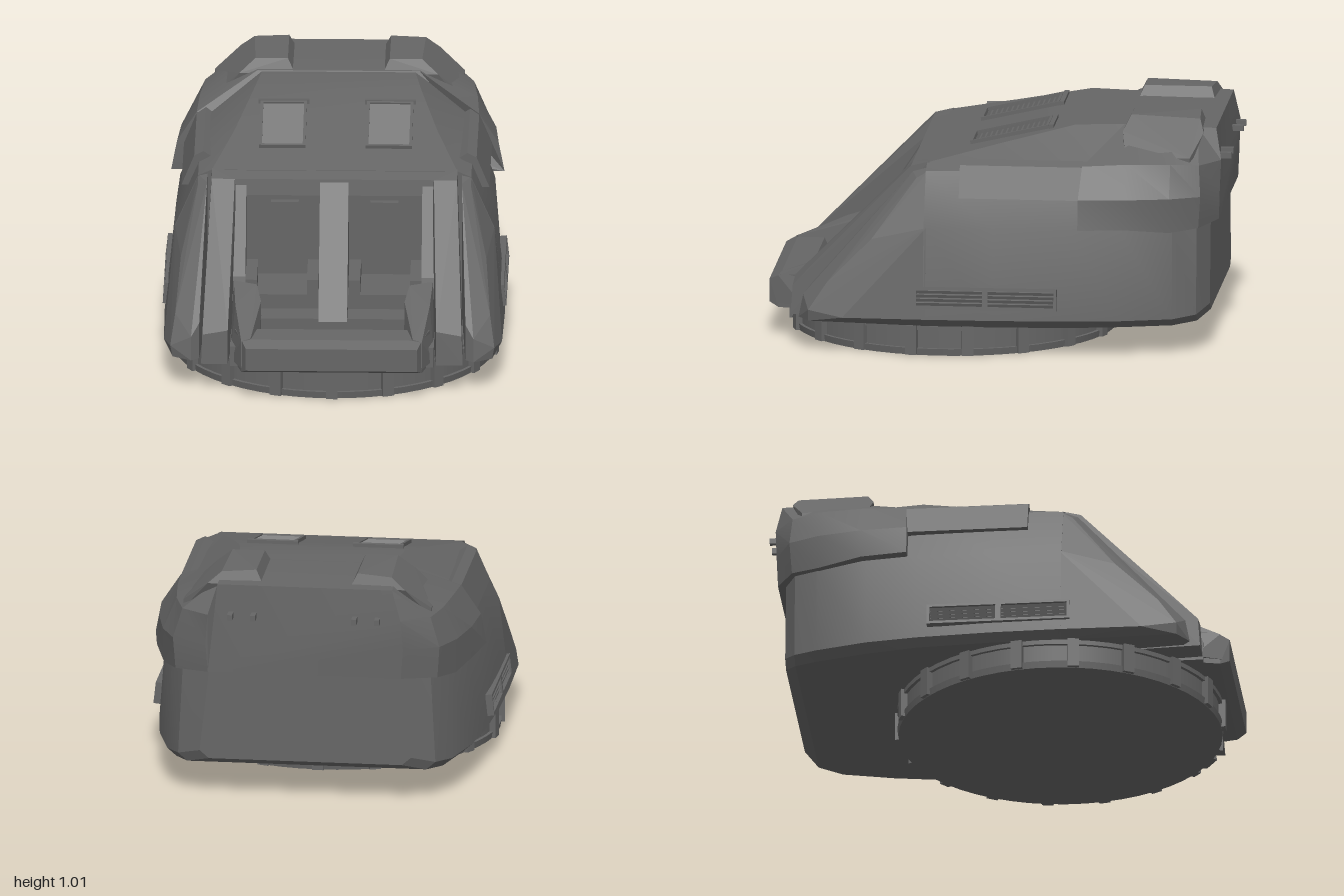
import * as THREE from 'three';
import { toCreasedNormals } from 'three/addons/utils/BufferGeometryUtils.js';
import { ConvexGeometry } from 'three/addons/geometries/ConvexGeometry.js';

const grey = new THREE.MeshStandardMaterial({ color: 0x666666 });
grey.name = 'gunmetal grey';

function add(parent, name, geometry) {
  const mesh = new THREE.Mesh(geometry, grey);
  mesh.name = name;
  parent.add(mesh);
  return mesh;
}

function box(parent, name, w, h, d, x, y, z) {
  const mesh = add(parent, name, new THREE.BoxGeometry(w, h, d));
  mesh.position.set(x, y, z);
  return mesh;
}

// convex block from its corners; side -1 mirrors it
function block(parent, name, corners, side = 1) {
  const points = corners.map(([x, y, z]) => new THREE.Vector3(x * side, y, z));
  return add(parent, name, new ConvexGeometry(points));
}

// symmetric skin through half sections (bottom to top, on +x), ordered back to front
function loft(sections, crease) {
  const loops = sections.map(s => [...s, ...s.map(([x, y, z]) => [-x, y, z]).reverse()]);
  const n = loops[0].length, pos = [];
  const tri = (a, b, c) => pos.push(...a, ...b, ...c);
  for (let k = 0; k < loops.length - 1; k++) {
    for (let j = 0; j < n; j++) {
      const i = (j + 1) % n, A = loops[k], B = loops[k + 1];
      tri(A[j], A[i], B[i]);
      tri(A[j], B[i], B[j]);
    }
  }
  const first = loops[0], last = loops[loops.length - 1];
  for (let j = 1; j < n - 1; j++) {
    tri(first[0], first[j + 1], first[j]);
    tri(last[0], last[j], last[j + 1]);
  }
  const geo = new THREE.BufferGeometry();
  geo.setAttribute('position', new THREE.Float32BufferAttribute(pos, 3));
  geo.computeVertexNormals();
  return toCreasedNormals(geo, crease);
}

// framed louvre lying in its own xy plane, facing +z, slats along x
function vent(name, w, h, slats) {
  const g = new THREE.Group();
  g.name = name;
  const t = 0.012;
  for (const s of [-1, 1]) {
    box(g, 'ventFrame', w, t, 0.03, 0, s * (h - t) / 2, 0);
    box(g, 'ventFrame', t, h, 0.03, s * (w - t) / 2, 0, 0);
  }
  for (let i = 0; i < slats; i++) {
    const y = -h / 2 + t + (i + 0.5) * (h - 2 * t) / slats;
    box(g, 'ventSlat', w - 2 * t, (h - 2 * t) / slats * 0.8, 0.005, 0, y, 0.004).rotation.x = 0.5;
  }
  return g;
}

export function createModel() {
  const model = new THREE.Group();
  model.name = 'turret';

  // main hull: z, bottom x/y, low x, mid x, shoulder x/y, roof x/y
  const hull = [
    [-0.92, 0.42, 0.17, 0.46, 0.42, 0.40, 0.80, 0.33, 0.94],
    [-0.87, 0.52, 0.14, 0.56, 0.54, 0.50, 0.80, 0.33, 0.95],
    [-0.77, 0.58, 0.13, 0.62, 0.60, 0.54, 0.80, 0.33, 0.955],
    [-0.55, 0.64, 0.13, 0.68, 0.65, 0.56, 0.80, 0.33, 0.96],
    [-0.33, 0.68, 0.13, 0.71, 0.68, 0.58, 0.81, 0.36, 0.96],
    [0.00, 0.70, 0.13, 0.73, 0.69, 0.59, 0.80, 0.44, 0.885],
    [0.30, 0.70, 0.13, 0.735, 0.69, 0.59, 0.79, 0.53, 0.816],
  ].map(([z, bx, by, lx, mx, sx, sy, rx, ry]) =>
    [[bx, by, z], [lx, by + 0.035, z], [mx, 0.56, z], [sx, sy, z], [rx, ry, z]]);
  add(model, 'hull', loft(hull, 0.35));

  // rear armour collar wrapped over the hull
  const collar = [
    [[0.42, 0.57, -0.955], [0.43, 0.70, -0.96], [0.42, 0.83, -0.965], [0.38, 0.962, -0.94]],
    [[0.57, 0.56, -0.88], [0.58, 0.70, -0.89], [0.54, 0.83, -0.88], [0.38, 0.965, -0.86]],
    [[0.635, 0.55, -0.76], [0.64, 0.70, -0.76], [0.58, 0.84, -0.76], [0.38, 0.965, -0.76]],
    [[0.69, 0.57, -0.57], [0.68, 0.70, -0.57], [0.60, 0.84, -0.57], [0.36, 0.967, -0.57]],
    [[0.72, 0.57, -0.37], [0.695, 0.70, -0.37], [0.61, 0.83, -0.38], [0.35, 0.965, -0.54]],
  ];
  add(model, 'rearArmour', loft(collar, 0.3));

  // turntable ring with ribs
  const ring = new THREE.Group();
  ring.name = 'turntable';
  ring.position.z = 0.23;
  model.add(ring);
  add(ring, 'ringDrum', new THREE.CylinderGeometry(0.69, 0.69, 0.14, 54)).position.y = 0.07;
  add(ring, 'ringLowerBand', new THREE.CylinderGeometry(0.705, 0.7, 0.03, 54)).position.y = 0.015;
  add(ring, 'ringUpperBand', new THREE.CylinderGeometry(0.705, 0.705, 0.02, 54)).position.y = 0.12;
  for (let i = 0; i < 18; i++) {
    const a = (i * Math.PI * 2) / 18;
    box(ring, 'ringRib', 0.05, 0.13, 0.03, Math.sin(a) * 0.702, 0.067, Math.cos(a) * 0.702).rotation.y = a;
  }

  // cockpit opening: beam, centre fin, stepped floor and front lip
  block(model, 'topBeam', [-0.45, 0.45].flatMap(x =>
    [[x, 0.816, 0.29], [x, 0.80, 0.37], [x, 0.73, 0.38], [x, 0.73, 0.29]]));
  block(model, 'centreFin', [-0.062, 0.062].flatMap(x =>
    [[x, 0.80, 0.29], [x, 0.79, 0.37], [x, 0.73, 0.39], [x, 0.36, 0.64], [x, 0.27, 0.71], [x, 0.2, 0.71], [x, 0.2, 0.29]]));
  box(model, 'cockpitFloor', 0.88, 0.09, 0.6, 0, 0.175, 0.59);
  box(model, 'seatPan', 0.78, 0.14, 0.28, 0, 0.27, 0.42);
  box(model, 'floorStep', 0.78, 0.07, 0.13, 0, 0.24, 0.62);
  block(model, 'frontLip', [-1, 1].flatMap(s =>
    [[s * 0.43, 0.13, 0.80], [s * 0.43, 0.22, 0.80], [s * 0.42, 0.28, 0.83], [s * 0.39, 0.275, 0.95],
      [s * 0.37, 0.25, 1], [s * 0.37, 0.15, 1], [s * 0.39, 0.13, 0.96]]));

  // octagonal seat back outline
  const seat = new THREE.Shape([[-0.07, -0.16], [0.07, -0.16], [0.1, -0.12], [0.1, 0.12], [0.06, 0.16],
    [-0.06, 0.16], [-0.1, 0.12], [-0.1, -0.12]].map(([x, y]) => new THREE.Vector2(x, y)));
  const seatGeo = new THREE.ExtrudeGeometry(seat, { depth: 0.04, bevelEnabled: false });

  for (const s of [-1, 1]) {
    // seat, armrests and window jamb
    add(model, 'seatBack', seatGeo).position.set(s * 0.215, 0.52, 0.29);
    box(model, 'innerArmrest', 0.05, 0.08, 0.26, s * 0.09, 0.37, 0.44);
    box(model, 'outerArmrest', 0.05, 0.08, 0.26, s * 0.355, 0.37, 0.44);
    block(model, 'windowJamb', [0.38, 0.45].flatMap(x =>
      [[x, 0.8, 0.29], [x, 0.78, 0.37], [x, 0.42, 0.56], [x, 0.2, 0.62], [x, 0.2, 0.29]]), s);

    // sloping rail beside the cockpit
    block(model, 'frontRail', [[0.42, 0.815, 0.29], [0.53, 0.82, 0.29], [0.43, 0.80, 0.37], [0.53, 0.80, 0.37],
      [0.45, 0.29, 0.88], [0.56, 0.27, 0.88], [0.45, 0.14, 0.89], [0.565, 0.14, 0.89],
      [0.42, 0.13, 0.29], [0.55, 0.13, 0.29]], s);

    // outer fender continuing the hull side
    block(model, 'fender', [[0.70, 0.13, 0.29], [0.735, 0.165, 0.29], [0.69, 0.56, 0.29], [0.59, 0.79, 0.29],
      [0.55, 0.80, 0.29], [0.55, 0.13, 0.29], [0.55, 0.78, 0.36], [0.59, 0.76, 0.34], [0.66, 0.50, 0.53],
      [0.73, 0.165, 0.65], [0.69, 0.14, 0.80], [0.70, 0.19, 0.80], [0.68, 0.31, 0.72],
      [0.61, 0.14, 0.85], [0.61, 0.24, 0.83], [0.575, 0.14, 0.82], [0.575, 0.29, 0.79]], s);

    // corner block between lip and rail
    block(model, 'cornerBlock', [[0.31, 0.2, 0.60], [0.44, 0.2, 0.58], [0.33, 0.40, 0.60], [0.43, 0.41, 0.58],
      [0.31, 0.36, 0.70], [0.42, 0.36, 0.74], [0.35, 0.28, 0.95], [0.39, 0.27, 0.96],
      [0.31, 0.2, 0.82], [0.39, 0.15, 0.97], [0.44, 0.15, 0.85]], s);

    // raised panel on the shoulder
    block(model, 'shoulderPanel', [-0.40, 0.15].flatMap(z =>
      [[0.665, 0.69, z], [0.61, 0.825, z], [0.57, 0.845, z], [0.50, 0.80, z], [0.55, 0.69, z]]), s);

    // roof pod
    block(model, 'roofPod', [[0.22, 1.01, -0.57], [0.36, 1.01, -0.57], [0.22, 1.01, -0.86], [0.37, 1.0, -0.87],
      [0.19, 0.95, -0.545], [0.43, 0.95, -0.54], [0.53, 0.86, -0.56], [0.53, 0.82, -0.56],
      [0.19, 0.95, -0.88], [0.43, 0.95, -0.89], [0.54, 0.86, -0.84], [0.54, 0.82, -0.84]], s);

    // roof louvre with a hood behind it
    const roofVent = vent('roofVent', 0.2, 0.35, 14);
    roofVent.rotation.x = -Math.PI / 2 + 0.226;
    roofVent.position.set(s * 0.23, 0.895, -0.04);
    model.add(roofVent);
    box(model, 'ventHood', 0.22, 0.03, 0.02, s * 0.23, 0.937, -0.22);

    // side louvres in two bays
    for (const z of [0.185, -0.125]) {
      const sideVent = vent('sideVent', 0.31, 0.095, 4);
      sideVent.rotation.set(-0.11, s * Math.PI / 2, 0, 'YXZ');
      sideVent.position.set(s * 0.722, 0.26, z);
      model.add(sideVent);
    }

    // rear pegs
    for (const x of [0.22, 0.32]) {
      box(model, 'rearPeg', 0.022, 0.025, 0.06, s * x, 0.83, -0.97);
    }
  }
  return model;
}
